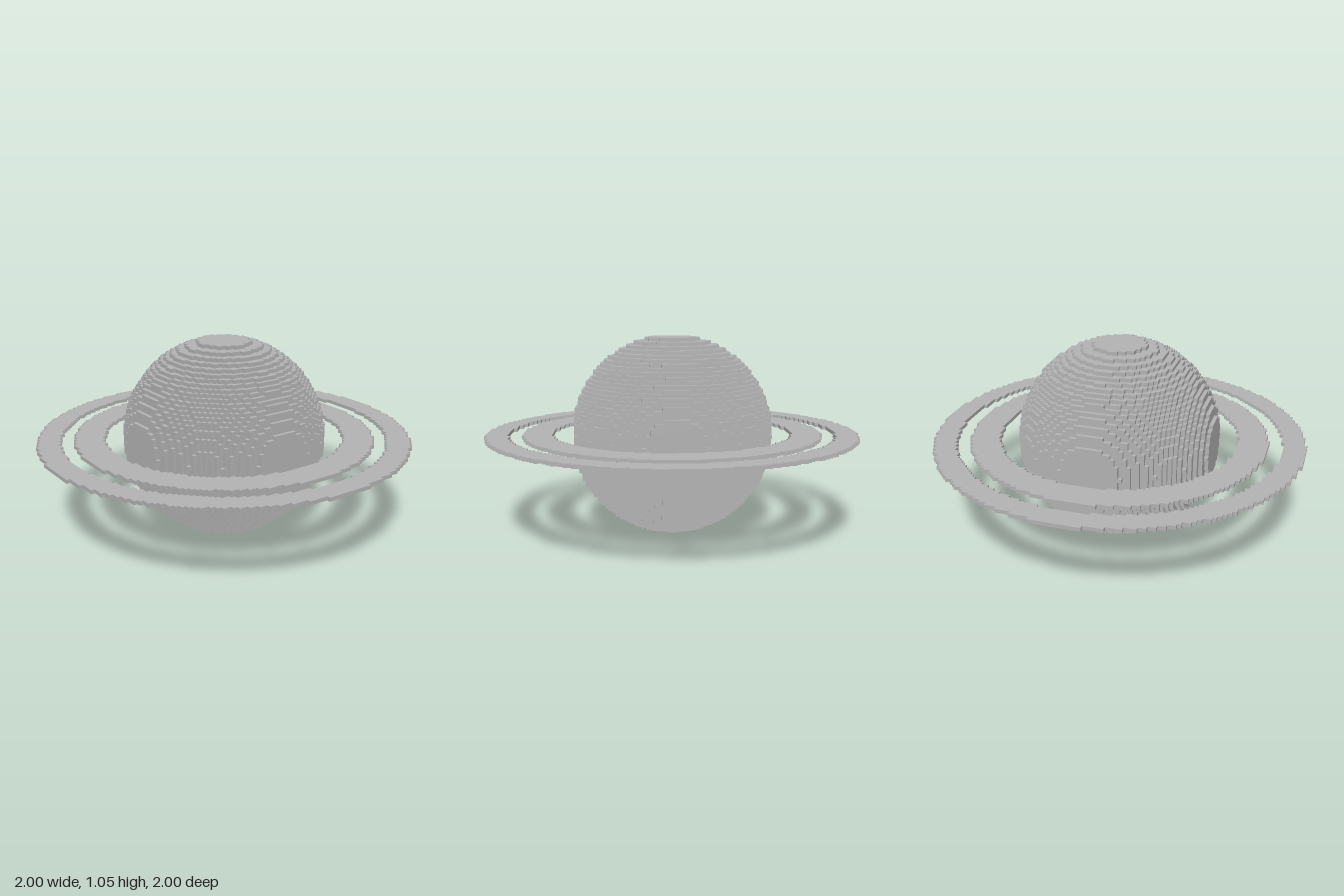
import * as THREE from 'three';

const CELL = 2 / 101;      // edge of one cube
const HALF = 26;           // planet reaches 26 cubes either side of its middle cube

// Skin of all cubes for which filled(x, y, z) holds, only the exposed faces.
function cubeShell(filled, nx, ny, nz) {
  const positions = [], normals = [], index = [];
  const corners = [[-0.5, -0.5], [0.5, -0.5], [0.5, 0.5], [-0.5, 0.5]];
  for (let x = -nx; x <= nx; x++)
    for (let y = -ny; y <= ny; y++)
      for (let z = -nz; z <= nz; z++) {
        if (!filled(x, y, z)) continue;
        const p = [x, y, z];
        for (let axis = 0; axis < 3; axis++)
          for (const side of [-1, 1]) {
            const next = [...p];
            next[axis] += side;
            if (filled(...next)) continue;
            const u = (axis + 1) % 3, w = (axis + 2) % 3;
            const first = positions.length / 3;
            for (const [cu, cw] of corners) {
              const q = [...p], n = [0, 0, 0];
              q[axis] += side / 2;
              q[u] += cu;
              q[w] += cw;
              n[axis] = side;
              positions.push(...q.map((v) => v * CELL));
              normals.push(...n);
            }
            const order = side > 0 ? [0, 1, 2, 0, 2, 3] : [0, 2, 1, 0, 3, 2];
            index.push(...order.map((i) => first + i));
          }
      }
  const geometry = new THREE.BufferGeometry();
  geometry.setAttribute('position', new THREE.Float32BufferAttribute(positions, 3));
  geometry.setAttribute('normal', new THREE.Float32BufferAttribute(normals, 3));
  geometry.setIndex(index);
  return geometry;
}

// Ball with flat caps on the six axes, slightly flattened at the poles
const inPlanet = (x, y, z) =>
  Math.max(Math.abs(x), Math.abs(y), Math.abs(z)) <= HALF &&
  x * x + 1.02 * y * y + z * z <= 741;

// One cube thick ring between two squared radii
const ringTest = (inner, outer) => (x, y, z) => {
  const d = x * x + z * z;
  return y === 0 && d >= inner && d <= outer;
};

export function createModel() {
  const model = new THREE.Group();
  model.name = 'ringedPlanet';
  const grey = new THREE.MeshStandardMaterial({ color: 0xb2b2b2 });
  grey.name = 'grey';

  const add = (name, geometry) => {
    const mesh = new THREE.Mesh(geometry, grey);
    mesh.name = name;
    mesh.position.y = (HALF + 0.5) * CELL;
    model.add(mesh);
  };

  add('planet', cubeShell(inPlanet, HALF, HALF, HALF));
  add('innerRing', cubeShell(ringTest(1070, 1640), 41, 0, 41));
  add('outerRing', cubeShell(ringTest(1976, 2540), 50, 0, 50));
  return model;
}
